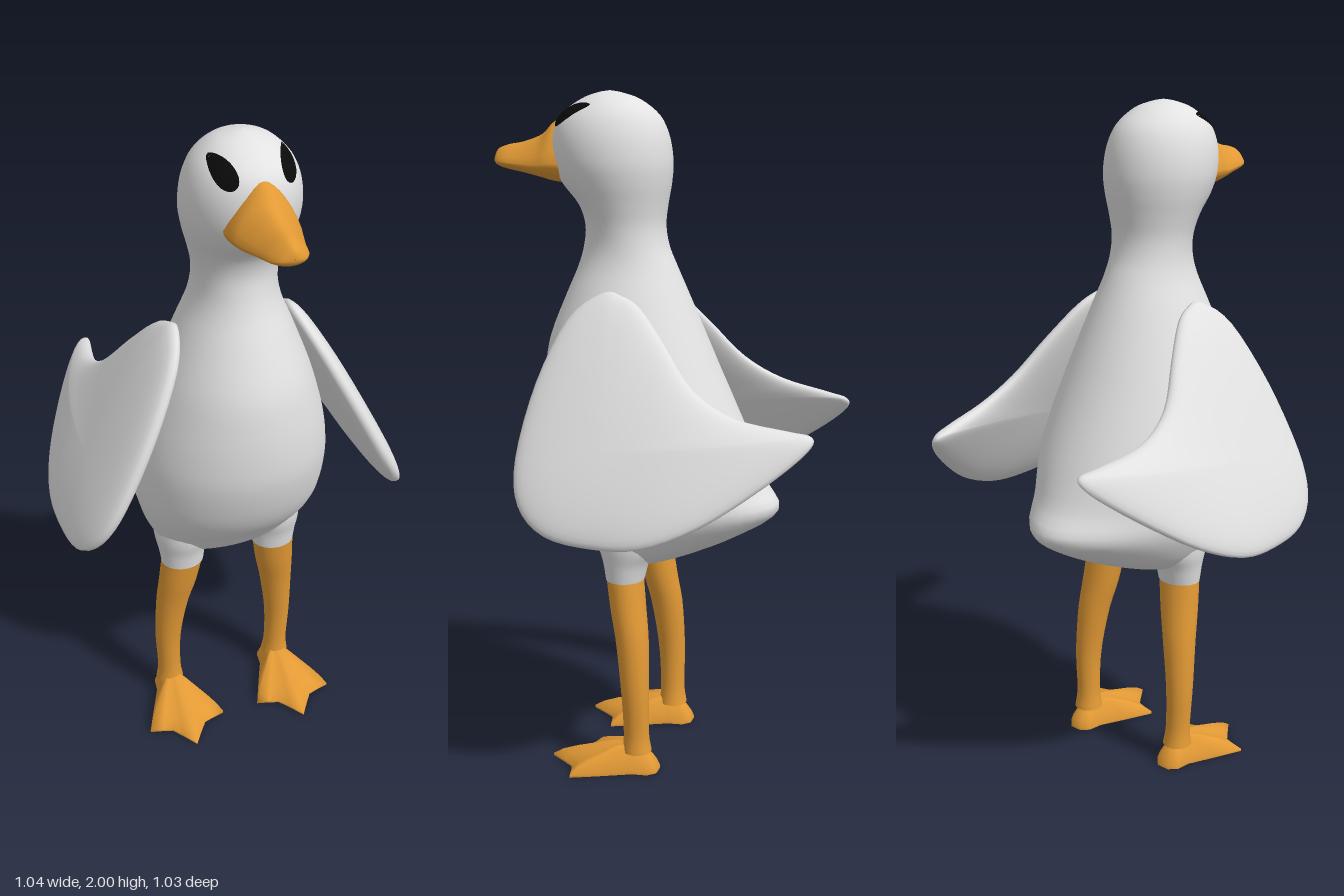
import * as THREE from 'three';

const V = (x, y, z) => new THREE.Vector3(x, y, z);

// Skin over a list of closed rings; a repeated ring makes a crease
function loft(rings) {
  const n = rings[0].length, pos = [], idx = [];
  rings.forEach(r => r.forEach(p => pos.push(p.x, p.y, p.z)));
  for (let i = 0; i < rings.length - 1; i++) {
    for (let j = 0; j < n; j++) {
      const a = i * n + j, b = i * n + (j + 1) % n;
      idx.push(a, a + n, b + n, a, b + n, b);
    }
  }
  const g = new THREE.BufferGeometry();
  g.setAttribute('position', new THREE.Float32BufferAttribute(pos, 3));
  g.setIndex(idx);
  g.computeVertexNormals();
  return g;
}

// Ring of n points from a function of the angle
const ring = (n, f) => Array.from({ length: n }, (_, j) => {
  const a = j / n * Math.PI * 2;
  return f(Math.cos(a), Math.sin(a));
});

// Smoothly resample rows of up to six numbers
function smoothRows(rows, count) {
  const half = k => new THREE.CatmullRomCurve3(
    rows.map(r => V(r[k], r[k + 1] ?? 0, r[k + 2] ?? 0)), false, 'catmullrom', 0.5);
  const a = half(0), b = half(3);
  return Array.from({ length: count + 1 }, (_, i) =>
    [...a.getPoint(i / count).toArray(), ...b.getPoint(i / count).toArray()]);
}

// Vertical limb from rows of y, centre x, centre z, radius x, radius z
function limb(rows, n = 20) {
  const rings = smoothRows(rows, 16).map(([y, cx, cz, rx, rz]) =>
    ring(n, (c, s) => V(cx + rx * c, y, cz + rz * s)));
  const cap = r => { const m = r.reduce((t, p) => t.add(p), V(0, 0, 0)).divideScalar(n); return r.map(() => m); };
  const first = rings[0], last = rings[rings.length - 1];
  return loft([cap(first), first, ...rings, last, cap(last)]);
}

// Head, neck, belly and tail in one skin: y, front z, back z, half width, widest z
function bodyGeometry() {
  const rows = [
    [0.62, 0.05, 0.03, 0.005, 0.04], [0.628, 0.1, -0.03, 0.13, 0.05], [0.66, 0.14, -0.13, 0.195, 0.05],
    [0.72, 0.19, -0.26, 0.238, 0.05], [0.795, 0.26, -0.362, 0.268, 0.05], [0.88, 0.31, -0.315, 0.284, 0.06],
    [1.0, 0.347, -0.265, 0.287, 0.07], [1.1, 0.355, -0.22, 0.272, 0.08], [1.2, 0.35, -0.175, 0.245, 0.09],
    [1.3, 0.333, -0.132, 0.212, 0.1], [1.42, 0.285, -0.08, 0.165, 0.1], [1.5, 0.25, -0.045, 0.132, 0.1],
    [1.56, 0.232, -0.02, 0.119, 0.1], [1.62, 0.226, -0.01, 0.12, 0.11], [1.68, 0.245, -0.016, 0.134, 0.12],
    [1.74, 0.295, -0.026, 0.151, 0.13], [1.8, 0.32, -0.03, 0.16, 0.14], [1.87, 0.323, -0.02, 0.153, 0.15],
    [1.93, 0.3, 0.008, 0.128, 0.155], [1.975, 0.24, 0.065, 0.082, 0.155], [1.994, 0.19, 0.12, 0.035, 0.155],
    [2.0, 0.156, 0.154, 0.001, 0.155]];
  return loft(smoothRows(rows, 84).map(([y, zf, zb, hw, zc]) => {
    const tail = 0.18 * Math.exp(-(((y - 0.8) / 0.12) ** 2));
    return ring(40, (c, s) => V(hw * c * (s < 0 ? 1 - tail * s * s : 1), y, zc + s * (s > 0 ? zf - zc : zc - zb)));
  }));
}

// Bill along z: z, top y, bottom y, half width; narrower above
function beakGeometry() {
  const rows = [
    [0.26, 1.925, 1.735, 0.097], [0.32, 1.917, 1.742, 0.095], [0.36, 1.88, 1.752, 0.086], [0.42, 1.857, 1.766, 0.068],
    [0.47, 1.848, 1.776, 0.055], [0.5, 1.838, 1.785, 0.038], [0.512, 1.825, 1.797, 0.018], [0.515, 1.811, 1.809, 0.001]];
  return loft(smoothRows(rows, 28).map(([z, top, bot, hw]) => {
    const mid = bot + (top - bot) * 0.3;
    return ring(28, (c, s) => V(hw * c * (1 - 0.4 * Math.max(0, -s)), mid - s * (s < 0 ? top - mid : mid - bot), z));
  }));
}

// Puffed, sloping wing from its side outline (z, y)
function wingGeometry() {
  const outline = [[0.12, 1.44], [0.21, 1.37], [0.275, 1.2], [0.3, 1.0], [0.27, 0.88], [0.18, 0.81], [0.04, 0.79],
    [-0.1, 0.8], [-0.25, 0.86], [-0.4, 0.96], [-0.5, 1.045], [-0.512, 1.085], [-0.45, 1.1], [-0.3, 1.132],
    [-0.18, 1.2], [-0.08, 1.315], [0.0, 1.4], [0.06, 1.433]];
  const pts = new THREE.CatmullRomCurve3(outline.map(([z, y]) => V(0, y, z)), true, 'catmullrom', 0.5).getPoints(72).slice(0, 72);
  const slope = y => 0.5 - (y - 0.8) * 0.51;
  const rings = [];
  for (let i = 0; i <= 24; i++) {
    const a = i / 24 * Math.PI, s = Math.max(Math.sin(a), 0.001);
    const puff = 0.052 * Math.sign(Math.cos(a)) * Math.abs(Math.cos(a)) ** 0.8;
    rings.push(pts.map(p => {
      const y = 1.04 + (p.y - 1.04) * s, z = 0.04 + (p.z - 0.04) * s;
      const curl = 0.42 * Math.max(0, -z - 0.08) ** 2;
      return V(slope(y) - curl + puff, y, z);
    }));
  }
  return loft(rings);
}

// Webbed foot with three toes, rising to the ankle
function footGeometry() {
  const outline = [[0.048, 0], [0.085, 0.08], [0.125, 0.17], [0.085, 0.18], [0.055, 0.19], [0.03, 0.225], [0, 0.27],
    [-0.03, 0.225], [-0.055, 0.19], [-0.085, 0.18], [-0.125, 0.17], [-0.085, 0.08], [-0.048, 0],
    [-0.042, -0.045], [-0.02, -0.068], [0.02, -0.068], [0.042, -0.045]];
  const levels = [[0, 0], [1, 0], [1, 0], [1, 0.008], [0.88, 0.028], [0.7, 0.046], [0.5, 0.062], [0.3, 0.078], [0, 0.085]];
  return loft(levels.map(([s, y]) => outline.map(([x, z]) => V(0.185 + x * s, y, 0.02 + z * s))));
}

// Eye patch laid on the head surface
function eyeGeometry(body, x0) {
  const g = new THREE.RingGeometry(0.0005, 1, 24, 4);
  const p = g.attributes.position, ray = new THREE.Raycaster();
  for (let i = 0; i < p.count; i++) {
    const x = x0 + p.getX(i) * 0.027, y = 1.932 + p.getY(i) * 0.033;
    ray.set(V(x, y, 1), V(0, 0, -1));
    const hit = ray.intersectObject(body)[0];
    p.setXYZ(i, x, y, (hit ? hit.point.z : 0.26) + 0.005);
  }
  g.computeVertexNormals();
  return g;
}

export function createModel() {
  const white = new THREE.MeshStandardMaterial({ color: 0xe2e2e2 });
  const orange = new THREE.MeshStandardMaterial({ color: 0xe39a35 });
  const black = new THREE.MeshStandardMaterial({ color: 0x0a0a0a });
  white.name = 'white feathers';
  orange.name = 'orange skin';
  black.name = 'black eye';

  const model = new THREE.Group();
  model.name = 'bird';
  const add = (parent, name, geometry, material) => {
    const mesh = new THREE.Mesh(geometry, material);
    mesh.name = name;
    parent.add(mesh);
    return mesh;
  };

  const body = add(model, 'body', bodyGeometry(), white);
  add(model, 'beak', beakGeometry(), orange);

  // Paired parts, built on the left and mirrored
  const wing = wingGeometry(), foot = footGeometry();
  const thigh = limb([[0.59, 0.15, 0.065, 0.066, 0.057], [0.64, 0.15, 0.062, 0.073, 0.068],
    [0.7, 0.148, 0.055, 0.085, 0.09], [0.8, 0.14, 0.05, 0.09, 0.1]]);
  const leg = limb([[0.06, 0.187, 0.018, 0.044, 0.044], [0.12, 0.188, 0.02, 0.037, 0.038], [0.25, 0.19, 0.023, 0.041, 0.042],
    [0.4, 0.177, 0.035, 0.051, 0.049], [0.5, 0.162, 0.052, 0.06, 0.053], [0.6, 0.15, 0.066, 0.065, 0.055]]);
  for (const [side, sign] of [['left', 1], ['right', -1]]) {
    const half = new THREE.Group();
    half.name = side + 'Side';
    half.scale.x = sign;
    add(half, side + 'Wing', wing, white);
    add(half, side + 'Thigh', thigh, white);
    add(half, side + 'Leg', leg, orange);
    add(half, side + 'Foot', foot, orange);
    model.add(half);
    add(model, side + 'Eye', eyeGeometry(body, 0.085 * sign), black);
  }
  return model;
}
